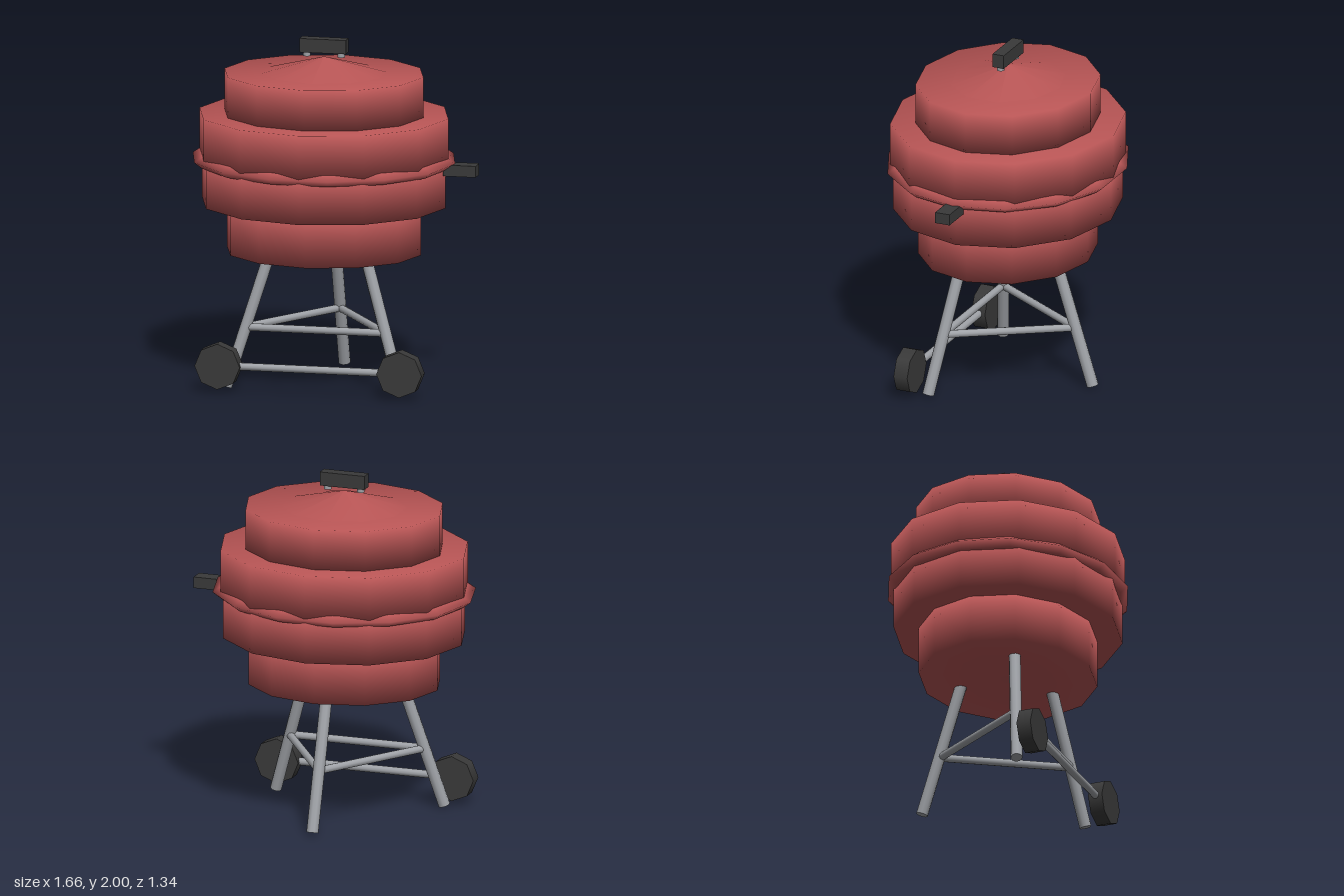
import * as THREE from 'three';

const mat = (color) => new THREE.MeshStandardMaterial({ color });
const V = (x, y, z) => new THREE.Vector3(x, y, z);

export function createModel() {
  const model = new THREE.Group();
  const red = mat(0xb85555), black = mat(0x3a3a3a), steel = mat(0xa0a3a8);
  const cx = -0.065; // kettle axis

  const add = (name, geo, material, x = 0, y = 0, z = 0) => {
    const mesh = new THREE.Mesh(geo, material);
    mesh.name = name;
    mesh.position.set(x, y, z);
    model.add(mesh);
    return mesh;
  };

  // Oval turned part: profile of [radius, height], sides, depth along z relative to x
  const turned = (name, profile, sides, depth, turn = 0) => {
    const geo = new THREE.LatheGeometry(profile.map(([r, y]) => new THREE.Vector2(r, y)), sides);
    geo.rotateY(turn).scale(1, 1, depth);
    return add(name, geo, red, cx);
  };

  // Round bar between two points
  const bar = (name, a, b, r) => {
    const geo = new THREE.CylinderGeometry(r, r, a.distanceTo(b), 10);
    const mesh = add(name, geo, steel);
    mesh.position.copy(a).add(b).multiplyScalar(0.5);
    mesh.quaternion.setFromUnitVectors(V(0, 1, 0), b.clone().sub(a).normalize());
  };

  // Stepped bowl and lid tiers
  const tiers = [
    ['bowlBase', 0.565, 0.765, 1.045, 0.885],
    ['bowlUpper', 0.71, 1.045, 1.3, 0.908],
    ['lidLower', 0.725, 1.3, 1.565, 0.91],
    ['lidUpper', 0.58, 1.565, 1.8, 0.888],
  ];
  for (const [name, r, y0, y1, depth] of tiers) {
    turned(name, [[0, y0], [r, y0], [r, y1], [0, y1]], 12, depth);
  }
  turned('lidCrown', [[0.363, 1.799], [0, 1.895]], 10, 0.895);

  // Pointed rim between bowl and lid
  turned('rim', [[0.66, 1.265], [0.72, 1.27], [0.765, 1.305], [0.72, 1.335], [0.66, 1.35]], 14, 0.895, Math.PI / 2);

  // Lid handle on two posts
  add('lidHandle', new THREE.BoxGeometry(0.27, 0.08, 0.07), black, cx, 1.96, 0);
  for (const s of [-1, 1]) {
    add('lidHandlePost', new THREE.CylinderGeometry(0.022, 0.022, 0.04, 10), steel, cx + s * 0.1, 1.915, 0);
  }

  // Side handle
  add('sideHandle', new THREE.BoxGeometry(0.19, 0.065, 0.09), black, 0.735, 1.273, 0);

  // Front legs, side braces and wheels, mirrored about the kettle axis
  const backBrace = V(cx, 0.35, -0.42);
  for (const s of [-1, 1]) {
    bar('frontLeg', V(cx + s * 0.275, 0.79, 0.155), V(cx + s * 0.51, 0.01, 0.265), 0.034);
    bar('sideBrace', V(cx + s * 0.41, 0.35, 0.22), backBrace, 0.022);
    const wheel = new THREE.CylinderGeometry(0.132, 0.132, 0.085, 8).rotateX(Math.PI / 2);
    add('wheel', wheel, black, cx + s * 0.53, 0.15, 0.37);
  }
  bar('backLeg', V(cx, 0.79, -0.285), V(cx, 0.012, -0.53), 0.034);
  bar('frontBrace', V(cx - 0.415, 0.35, 0.22), V(cx + 0.415, 0.35, 0.22), 0.022);
  bar('axle', V(cx - 0.53, 0.15, 0.37), V(cx + 0.53, 0.15, 0.37), 0.022);

  return model;
}
